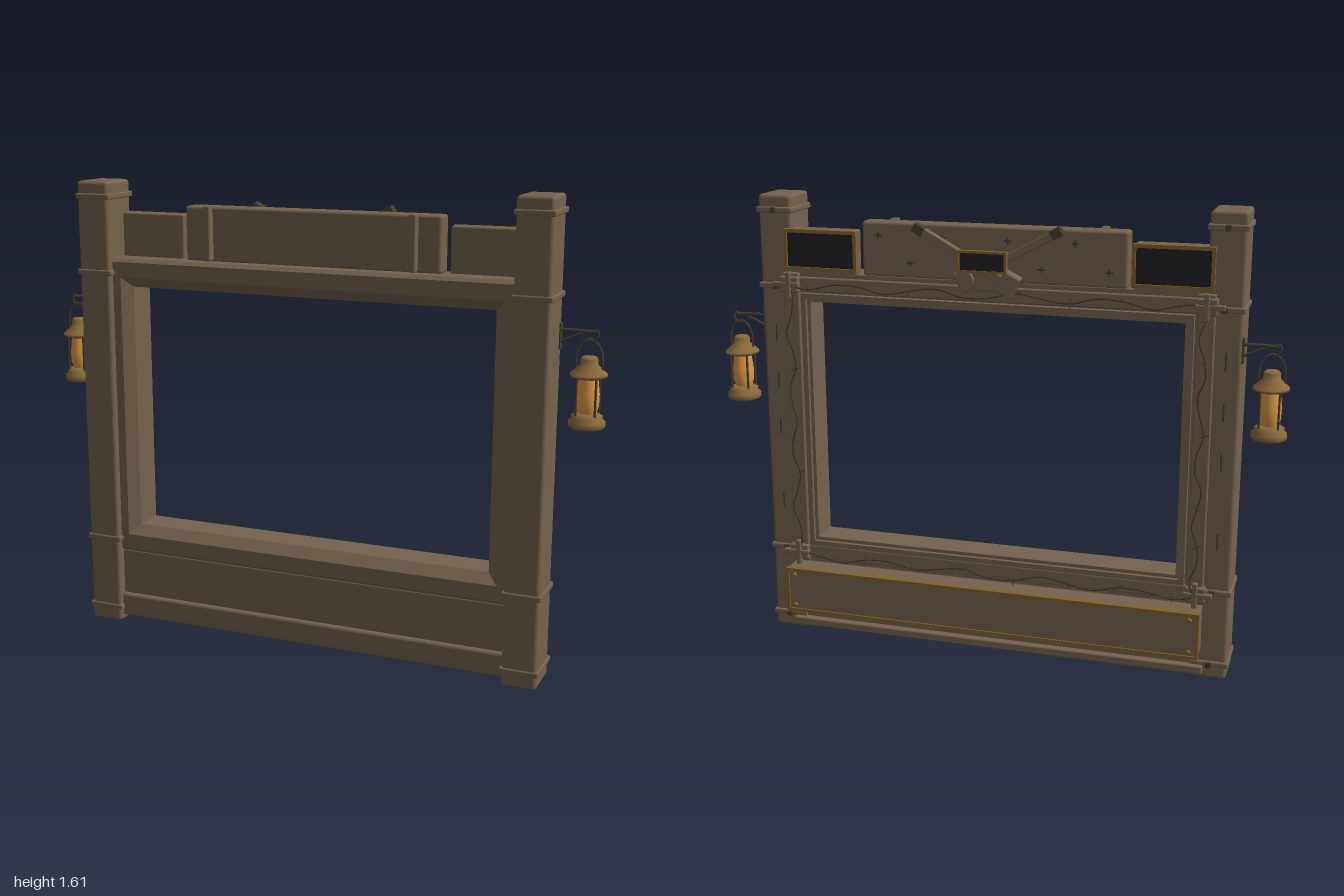
import * as THREE from 'three';
import { RoundedBoxGeometry } from 'three/addons/geometries/RoundedBoxGeometry.js';

const mat = (name, color, side = THREE.FrontSide) => {
  const m = new THREE.MeshStandardMaterial({ color, side });
  m.name = name;
  return m;
};

export function createModel() {
  const root = new THREE.Group();
  root.name = 'woodenFrame';
  const wood = mat('wood', 0x75634e);
  const brass = mat('brass', 0x80602c);
  const lampMetal = mat('lampMetal', 0x8a6a3c);
  const glass = mat('glowingGlass', 0xe09a45);
  const slate = mat('slate', 0x202124);
  const iron = mat('iron', 0x463d33);

  const add = (name, geo, material, parent = root) => {
    const m = new THREE.Mesh(geo, material);
    m.name = name;
    parent.add(m);
    return m;
  };
  // Softly bevelled block given by its limits
  const block = (name, x0, x1, y0, y1, z0, z1, material = wood, r = 0.006, parent = root) => {
    const w = x1 - x0, h = y1 - y0, d = z1 - z0;
    const g = new RoundedBoxGeometry(w, h, d, 2, Math.min(r, w / 3, h / 3, d / 3));
    const m = add(name, g, material, parent);
    m.position.set((x0 + x1) / 2, (y0 + y1) / 2, (z0 + z1) / 2);
    return m;
  };
  // Mitred rectangular moulding: profile of [outset, z] swept round a rectangle
  const moulding = (name, cx, cy, hx, hy, profile, material) => {
    const corners = [[-1, -1], [1, -1], [1, 1], [-1, 1]];
    const pos = [];
    const pt = ([d, z], k) => [cx + corners[k % 4][0] * (hx + d), cy + corners[k % 4][1] * (hy + d), z];
    for (let i = 0; i < profile.length - 1; i++) {
      for (let k = 0; k < 4; k++) {
        const a = pt(profile[i], k), b = pt(profile[i], k + 1);
        const c = pt(profile[i + 1], k + 1), d = pt(profile[i + 1], k);
        pos.push(...a, ...b, ...c, ...a, ...c, ...d);
      }
    }
    const g = new THREE.BufferGeometry();
    g.setAttribute('position', new THREE.Float32BufferAttribute(pos, 3));
    g.computeVertexNormals();
    return add(name, g, material);
  };
  // Square-edged trim, closed on all four sides of its section
  const trim = (name, cx, cy, hx, hy, w, z0, z1, material) =>
    moulding(name, cx, cy, hx, hy, [[w, z0], [w, z1], [0, z1], [0, z0], [w, z0]], material);
  const tube = (name, pts, r, material, parent, n = 20) =>
    add(name, new THREE.TubeGeometry(
      new THREE.CatmullRomCurve3(pts.map(p => new THREE.Vector3(...p))), n, r, 6), material, parent);

  // Main opening with bevelled front and stepped back
  moulding('openingFrame', 0, 0.805, 0.655, 0.435, [
    [0.1, -0.012], [0.1, 0.108], [0.088, 0.12], [0.035, 0.12], [0, 0.09], [0, -0.02], [0.012, -0.02],
    [0.012, -0.034], [0.03, -0.034], [0.03, -0.012], [0.1, -0.012]], wood);

  // Lower boards
  block('lowerPanel', -0.73, 0.73, 0.1, 0.272, -0.012, 0.11);
  block('baseBoard', -0.73, 0.73, 0.02, 0.106, -0.012, 0.125, wood, 0.012);
  block('backFootRail', -0.76, 0.76, 0.02, 0.05, -0.04, -0.01);

  // Top sign with straps and its battens
  block('topSign', -0.46, 0.46, 1.338, 1.526, -0.008, 0.062, wood, 0.01);
  for (const s of [-1, 1]) {
    block('signStrap', s * 0.368 - 0.013, s * 0.368 + 0.013, 1.342, 1.53, 0.05, 0.088);
    const x0 = s < 0 ? -0.73 : 0.482;
    block('sideBoard', x0, x0 + 0.248, 1.335, 1.492, -0.012, 0.036);
    // Slates on the back of the side boards
    block('slatePanel', s * 0.61 - 0.125, s * 0.61 + 0.125, 1.358, 1.482, -0.022, -0.01, slate, 0.002);
    trim('slateTrim', s * 0.61, 1.42, 0.122, 0.059, 0.012, -0.03, -0.01, brass);
  }

  // Nails on the back of the sign
  for (let i = 0; i < 8; i++) {
    const x = -0.4 + i * 0.8 / 7, y = i % 2 ? 1.48 : 1.39;
    block('nail', x - 0.013, x + 0.013, y - 0.003, y + 0.003, -0.014, -0.006, iron, 0.001);
    block('nail', x - 0.003, x + 0.003, y - 0.011, y + 0.011, -0.014, -0.006, iron, 0.001);
  }

  for (const s of [-1, 1]) {
    // Posts with bands
    block('post', s * 0.78 - 0.06, s * 0.78 + 0.06, 0, 1.605, -0.013, 0.143, wood, 0.012);
    for (const y of [0.055, 0.318, 1.29, 1.553])
      block('postBand', s * 0.78 - 0.066, s * 0.78 + 0.066, y - 0.01, y + 0.01, -0.022, 0.147, wood, 0.005);
    for (const y of [0.055, 0.318, 1.29, 1.553])
      block('bandBolt', s * 0.78 - 0.01, s * 0.78 + 0.01, y - 0.01, y + 0.01, -0.032, -0.02, iron, 0.003);
    // Back planks with lashed corners
    block('backSidePlank', s * 0.722 - 0.03, s * 0.722 + 0.03, 0.275, 1.34, -0.03, -0.01);
    for (const y of [0.312, 1.3]) {
      block('cornerBlock', s * 0.725 - 0.035, s * 0.725 + 0.035, y - 0.028, y + 0.028, -0.044, -0.012);
      block('cornerPeg', s * 0.735 - 0.05, s * 0.735 + 0.05, y - 0.009, y + 0.009, -0.05, -0.03, wood, 0.004);
      block('cornerPeg', s * 0.725 - 0.009, s * 0.725 + 0.009, y - 0.045, y + 0.045, -0.052, -0.03, wood, 0.004);
    }
    // Small cracks on the back of each post
    for (const y of [0.5, 0.78, 0.95, 1.12])
      block('postCrack', s * 0.79 - 0.003, s * 0.79 + 0.003, y - 0.03, y + 0.03, -0.016, -0.012, iron, 0.001);
  }
  for (const y of [0.312, 1.3])
    block('backCrossPlank', -0.72, 0.72, y - 0.026, y + 0.026, -0.026, -0.01);

  // Barbed wire round the back
  const wire = (a, b, phase) => {
    const pts = [];
    for (let i = 0; i <= 16; i++) {
      const t = i / 16, w = Math.sin(i * 1.9 + phase) * 0.014;
      const flat = a[1] === b[1];
      pts.push([a[0] + (b[0] - a[0]) * t + (flat ? 0 : w), a[1] + (b[1] - a[1]) * t + (flat ? w : 0),
        -0.042 - 0.012 * Math.sin(t * Math.PI * 3) ** 2]);
    }
    tube('barbedWire', pts, 0.003, iron, root, 64);
    pts.filter((p, i) => i % 2).forEach((p, i) => {
      const barb = add('barb', new THREE.CylinderGeometry(0.001, 0.0025, 0.036, 4), iron);
      barb.position.set(...p);
      barb.rotation.set(0.4, 0, i * 1.1 + phase);
    });
  };
  wire([-0.72, 0.3], [-0.72, 1.32], 0);
  wire([0.72, 0.3], [0.72, 1.32], 2);
  wire([-0.74, 1.3], [0.74, 1.3], 1);
  wire([-0.74, 0.305], [0.74, 0.305], 3);

  // Trough on the back with brass edging
  block('backTrough', -0.75, 0.75, 0.105, 0.268, -0.1, -0.01, wood, 0.004);
  trim('troughTrim', 0, 0.1865, 0.741, 0.072, 0.011, -0.106, -0.082, brass);
  for (const x of [-0.72, 0.72]) for (const y of [0.128, 0.245]) {
    const stud = add('troughStud', new THREE.CylinderGeometry(0.007, 0.009, 0.014, 10), brass);
    stud.rotation.x = -Math.PI / 2;
    stud.position.set(x, y, -0.106);
  }

  // Crossed mallets and small slate behind the sign
  const mallet = (s, z, len) => {
    const g = new THREE.Group();
    g.name = 'crossedMallet';
    g.position.set(s * 0.075, 1.433, z);
    g.rotation.z = s * 0.5;
    root.add(g);
    block('malletHandle', -len / 2, len / 2, -0.014, 0.014, -0.014, 0.014, wood, 0.004, g);
    const x = -s * len / 2;
    block('malletHead', x - 0.03, x + 0.03, -0.038, 0.038, -0.024, 0.024, wood, 0.006, g);
    block('malletGrip', s * len / 2 - 0.02, s * len / 2 + 0.02, -0.016, 0.016, -0.016, 0.016, iron, 0.004, g);
  };
  mallet(1, -0.082, 0.35);
  mallet(-1, -0.036, 0.35);
  block('slateArm', -0.03, 0.02, 1.385, 1.42, -0.13, -0.01);
  block('slateArmFoot', -0.05, 0.04, 1.32, 1.39, -0.085, -0.05);
  block('smallSlateBack', -0.088, 0.078, 1.392, 1.462, -0.138, -0.122);
  block('smallSlate', -0.08, 0.07, 1.398, 1.456, -0.142, -0.134, slate, 0.001);
  trim('smallSlateTrim', -0.005, 1.427, 0.076, 0.028, 0.008, -0.145, -0.126, brass);

  // Lanterns hanging from iron brackets
  const lathe = (name, pts, material, parent) =>
    add(name, new THREE.LatheGeometry(pts.map(p => new THREE.Vector2(...p)), 24), material, parent);
  for (const s of [-1, 1]) {
    const bracket = new THREE.Group();
    bracket.name = 'lanternBracket';
    root.add(bracket);
    tube('arm', [[s * 0.83, 1.178, 0.005], [s * 0.9, 1.178, 0.005], [s * 0.955, 1.176, 0.005]], 0.006, iron, bracket);
    tube('brace', [[s * 0.835, 1.135, 0.005], [s * 0.88, 1.158, 0.005], [s * 0.93, 1.177, 0.005]], 0.005, iron, bracket);
    tube('hook', [[s * 0.94, 1.178, 0.005], [s * 0.958, 1.182, 0.005], [s * 0.962, 1.165, 0.005],
      [s * 0.945, 1.145, 0.005], [s * 0.932, 1.155, 0.005]], 0.004, iron, bracket);
    block('wallPlate', s * 0.841 - 0.004, s * 0.841 + 0.004, 1.115, 1.2, -0.008, 0.018, iron, 0.002, bracket);

    const lamp = new THREE.Group();
    lamp.name = 'lantern';
    lamp.position.set(s * 0.937, 0.868, 0.005);
    root.add(lamp);
    lathe('lanternBase', [[0, 0], [0.052, 0], [0.059, 0.006], [0.059, 0.022], [0.048, 0.03],
      [0.05, 0.04], [0.036, 0.048], [0, 0.048]], lampMetal, lamp);
    lathe('lanternGlass', [[0.028, 0.045], [0.036, 0.07], [0.037, 0.11], [0.03, 0.165]], glass, lamp);
    lathe('lanternRoof', [[0, 0.162], [0.046, 0.162], [0.06, 0.168], [0.059, 0.176], [0.028, 0.204],
      [0.028, 0.222], [0.022, 0.23], [0, 0.23]], lampMetal, lamp);
    for (let i = 0; i < 4; i++) {
      const a = Math.PI / 4 + i * Math.PI / 2;
      const bar = add('lanternBar', new THREE.CylinderGeometry(0.004, 0.004, 0.13, 6), iron, lamp);
      bar.position.set(0.044 * Math.cos(a), 0.105, 0.044 * Math.sin(a));
    }
    const handle = add('lanternHandle', new THREE.TorusGeometry(0.042, 0.0035, 6, 24, Math.PI), iron, lamp);
    handle.position.y = 0.22;
    handle.scale.y = 1.5;
    for (const x of [-0.042, 0.042]) {
      const leg = add('handleLeg', new THREE.CylinderGeometry(0.0035, 0.0035, 0.04, 6), iron, lamp);
      leg.position.set(x, 0.2, 0);
    }
  }
  return root;
}
